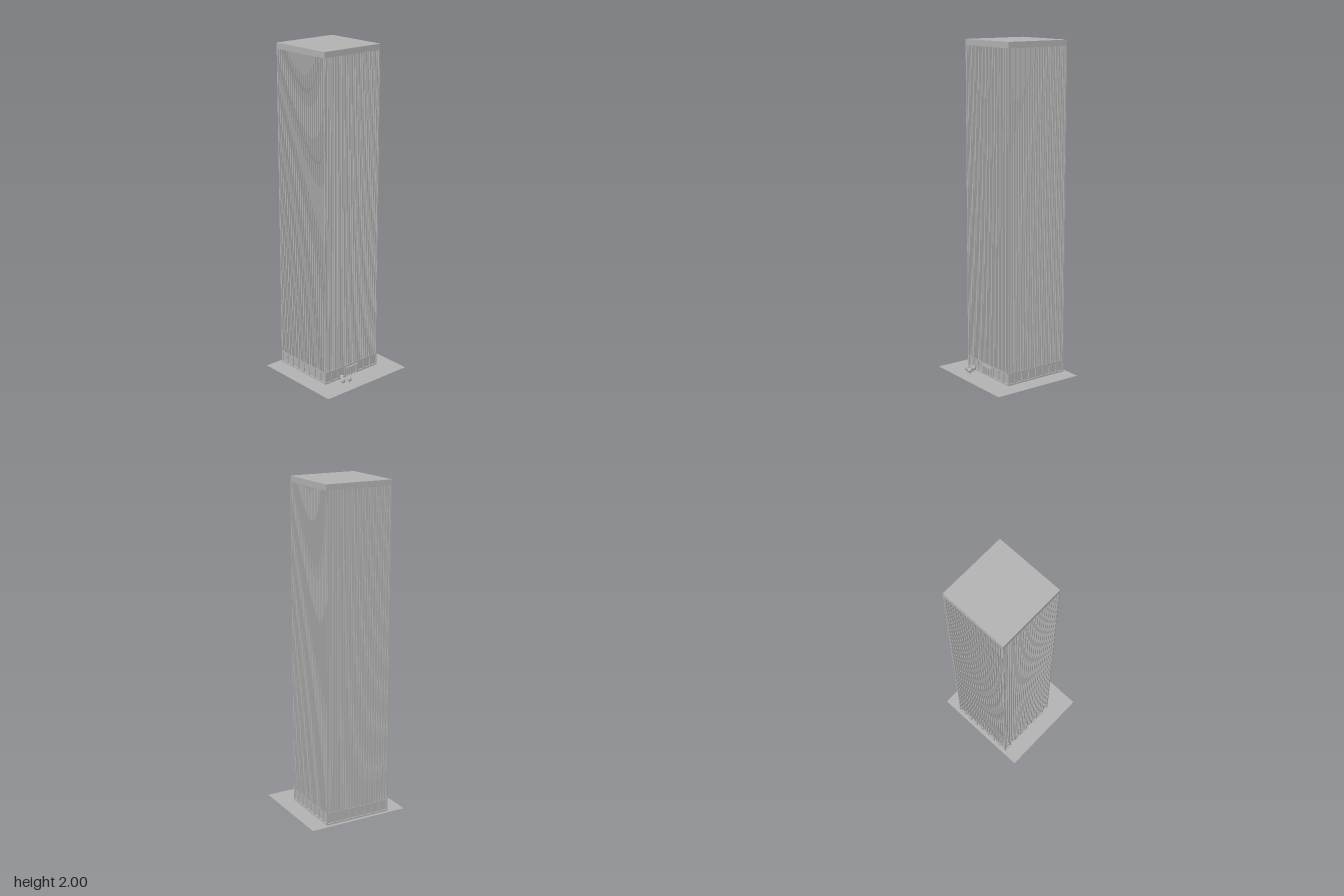
import * as THREE from 'three';

const HALF = 0.209;      // half width of the tower
const BASE_H = 0.075;    // height of the arcade storey
const CAP_Y = 1.965;     // underside of the roof band
const BAYS = 8;
const BAY = (2 * HALF) / BAYS;

export function createModel() {
  const model = new THREE.Group();
  model.name = 'tower';
  const concrete = new THREE.MeshStandardMaterial({ color: 0xb2b2b2 });
  concrete.name = 'concrete grey';
  const plaza = concrete.clone();
  plaza.name = 'plaza grey';
  plaza.side = THREE.DoubleSide;
  const foliage = concrete.clone();
  foliage.name = 'foliage grey';
  foliage.flatShading = true;

  const add = (parent, name, geometry, x = 0, y = 0, z = 0, material = concrete) => {
    const mesh = new THREE.Mesh(geometry, material);
    mesh.name = name;
    mesh.position.set(x, y, z);
    parent.add(mesh);
    return mesh;
  };
  const box = (parent, name, w, h, d, x, y, z) =>
    add(parent, name, new THREE.BoxGeometry(w, h, d), x, y, z);

  // Flat plaza
  add(model, 'plaza', new THREE.PlaneGeometry(0.628, 0.584).rotateX(-Math.PI / 2), 0, 0, 0, plaza);

  const building = new THREE.Group();
  building.name = 'building';
  building.position.z = -0.0635;
  model.add(building);

  // Recessed core and roof band
  box(building, 'core', 0.404, CAP_Y, 0.404, 0, CAP_Y / 2, 0);
  box(building, 'roofBand', 2 * HALF, 2 - CAP_Y, 2 * HALF, 0, (2 + CAP_Y) / 2, 0);

  // Opening with chamfered upper corners
  const opening = (cx, w, y0, y1, c) => {
    const a = cx - w / 2, b = cx + w / 2;
    return new THREE.Path([
      [a, y0], [a, y1 - c], [a + c, y1], [b - c, y1], [b, y1 - c], [b, y0],
    ].map(([x, y]) => new THREE.Vector2(x, y)));
  };

  // Four facades: arcade wall and vertical ribs
  ['front', 'left', 'back', 'right'].forEach((side, s) => {
    const facade = new THREE.Group();
    facade.name = side + 'Facade';
    facade.rotation.y = (s * Math.PI) / 2;
    building.add(facade);

    const wall = new THREE.Shape([
      [-HALF, 0], [HALF, 0], [HALF, BASE_H], [-HALF, BASE_H],
    ].map(([x, y]) => new THREE.Vector2(x, y)));
    for (let i = 0; i < BAYS; i++) {
      if (s === 0 && (i === 3 || i === 4)) continue;
      wall.holes.push(opening((i - (BAYS - 1) / 2) * BAY, 0.042, 0.01, 0.068, 0.005));
    }
    if (s === 0) wall.holes.push(opening(0, 0.09, 0.002, 0.058, 0.003));
    const arcade = new THREE.ExtrudeGeometry(wall, { depth: 0.008, bevelEnabled: false });
    add(facade, 'arcadeWall', arcade, 0, 0, HALF - 0.008);

    const count = BAYS * 3, step = (2 * HALF) / count;
    for (let i = 0; i < count; i++) {
      const x = (i - (count - 1) / 2) * step;
      box(facade, 'rib', 0.008, CAP_Y - BASE_H + 0.004, 0.01, x, (CAP_Y + BASE_H) / 2, HALF - 0.0045);
      box(facade, 'ribFin', 0.002, CAP_Y - BASE_H, 0.003, x, (CAP_Y + BASE_H) / 2, HALF + 0.001);
    }
  });
  // Corner piers
  for (const x of [-1, 1]) for (const z of [-1, 1])
    box(building, 'cornerPier', 0.008, CAP_Y, 0.008, x * (HALF - 0.004), CAP_Y / 2, z * (HALF - 0.004));

  // Entrance canopy and door mullions
  box(building, 'canopy', 0.096, 0.006, 0.016, 0, 0.061, HALF + 0.002);
  for (let i = -2; i <= 2; i++)
    box(building, 'doorMullion', 0.003, 0.056, 0.005, i * 0.0175, 0.03, HALF - 0.005);
  box(building, 'doorLintel', 0.07, 0.004, 0.004, 0, 0.046, HALF - 0.004);

  // Three small hexagonal trees
  for (const [x, z] of [[-0.105, 0.176], [-0.126, 0.208], [-0.084, 0.218]]) {
    const tree = new THREE.Group();
    tree.name = 'tree';
    tree.position.set(x, 0, z);
    model.add(tree);
    add(tree, 'trunk', new THREE.CylinderGeometry(0.003, 0.003, 0.014, 6), 0, 0.007, 0, foliage);
    const crown = add(tree, 'crown', new THREE.SphereGeometry(0.016, 6, 4), 0, 0.027, 0, foliage);
    crown.scale.y = 1.1;
  }
  return model;
}
